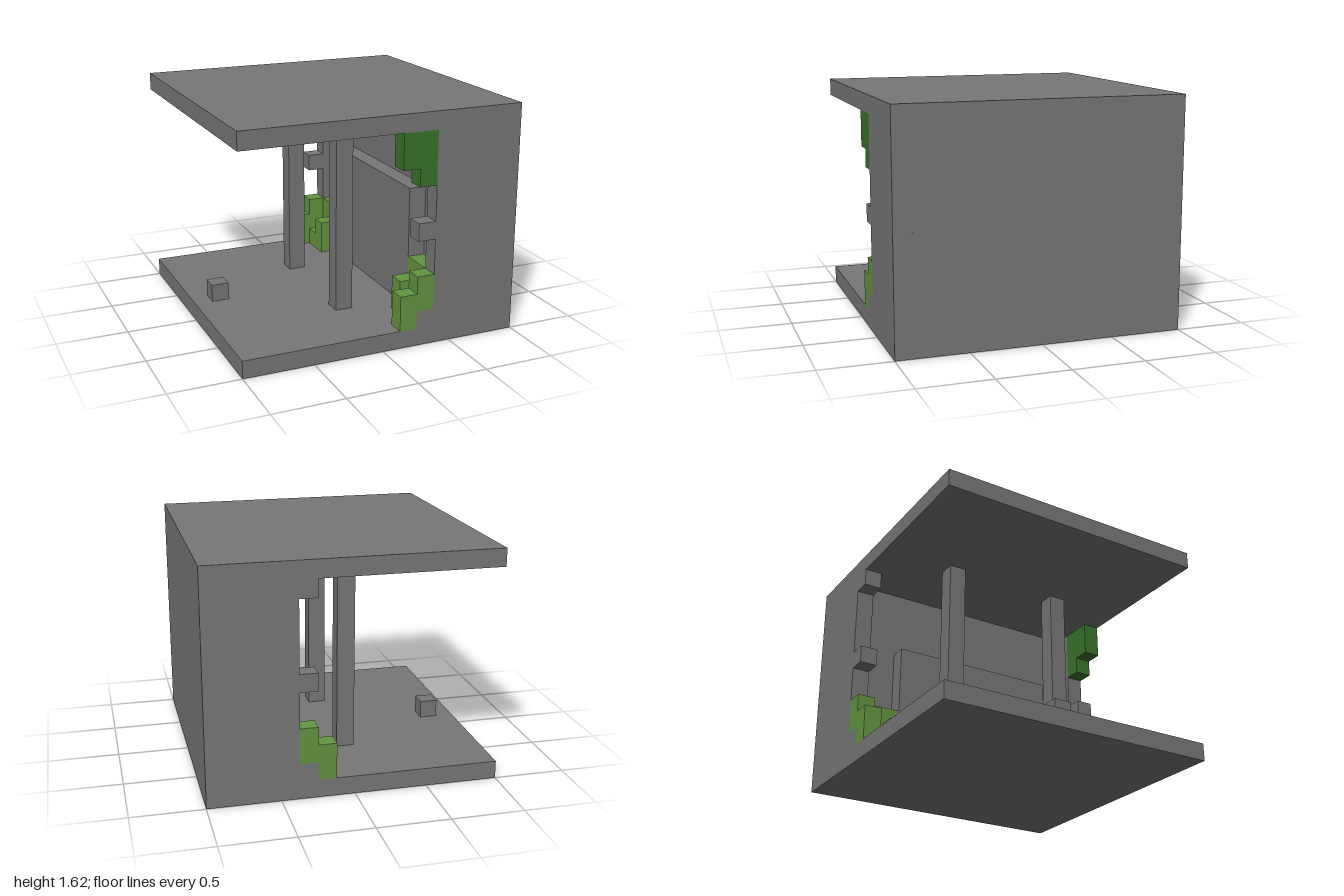
import * as THREE from 'three';

const U = 0.125; // one block
const stone = new THREE.MeshStandardMaterial({ color: 0x777777 });
stone.name = 'stone grey';
const leaf = new THREE.MeshStandardMaterial({ color: 0x649541 });
leaf.name = 'leaf green';
const vine = new THREE.MeshStandardMaterial({ color: 0x3b722d });
vine.name = 'dark vine green';

// Block coordinates: x and z run 0..16, y runs 0..13
function block(parent, name, material, [x0, x1], [y0, y1], [z0, z1]) {
  const geometry = new THREE.BoxGeometry((x1 - x0) * U, (y1 - y0) * U, (z1 - z0) * U);
  const mesh = new THREE.Mesh(geometry, material);
  mesh.name = name;
  mesh.position.set((x0 + x1) * U / 2 - 1, (y0 + y1) * U / 2, (z0 + z1) * U / 2 - 1);
  parent.add(mesh);
}

// C-shaped slice: floor, side wall and roof in one outline, with single-block teeth on the inner edge
function slice(parent, name, wallX, teeth, z0, z1) {
  const points = [[0, 0], [16, 0], [16, 13], [0, 13], [0, 12]];
  const inner = [[wallX, 12]];
  for (const y of teeth) {
    inner.push([wallX, y + 1], [wallX - 1, y + 1], [wallX - 1, y], [wallX, y]);
  }
  inner.push([wallX, 1]);
  points.push(...inner, [0, 1]);
  // Drop pairs of coincident points where a tooth meets floor or roof
  const clean = points.filter((p, i) => {
    const a = points[i - 1], b = points[i + 1];
    const same = (q) => q && q[0] === p[0] && q[1] === p[1];
    return !same(a) && !same(b);
  });
  const shape = new THREE.Shape(clean.map(([x, y]) => new THREE.Vector2(x * U - 1, y * U)));
  const geometry = new THREE.ExtrudeGeometry(shape, { depth: (z1 - z0) * U, bevelEnabled: false });
  const mesh = new THREE.Mesh(geometry, stone);
  mesh.name = name;
  mesh.position.z = z0 * U - 1;
  parent.add(mesh);
}

export function createModel() {
  const model = new THREE.Group();
  model.name = 'ruinedHall';

  // Shell: broken end walls and a thinner middle
  slice(model, 'backEnd', 11, [11, 6, 1], 0, 1);
  slice(model, 'middleShell', 12, [], 1, 15);
  slice(model, 'frontEnd', 11, [6, 1], 15, 16);

  // Half-height inner wall with a ledge on top
  block(model, 'innerLedge', stone, [11, 12], [1, 8], [3, 13]);

  // Pillars and loose stone
  for (const z of [4, 11]) block(model, 'pillar', stone, [7, 8], [1, 12], [z, z + 1]);
  block(model, 'looseStone', stone, [1, 2], [1, 2], [7, 8]);

  // Bushes in both corners, mirrored front to back
  for (const front of [false, true]) {
    const bush = new THREE.Group();
    bush.name = front ? 'frontBush' : 'backBush';
    const put = (x, y, z0, z1) =>
      block(bush, 'bushBlock', leaf, x, y, front ? [16 - z1, 16 - z0] : [z0, z1]);
    put([9, 10], [1, 3], 0, 1);
    put([10, 11], [2, 4], 0, 1);
    put([10, 11], [1, 2], 1, 2);
    put([10, 11], [1, 3], 2, 3);
    put([11, 12], [1, 4], 1, 3);
    model.add(bush);
  }

  // Vines hanging from the roof at the front
  block(model, 'hangingVine', vine, [9, 10], [10, 12], [15, 16]);
  block(model, 'hangingVine', vine, [10, 11], [9, 12], [15, 16]);

  return model;
}
